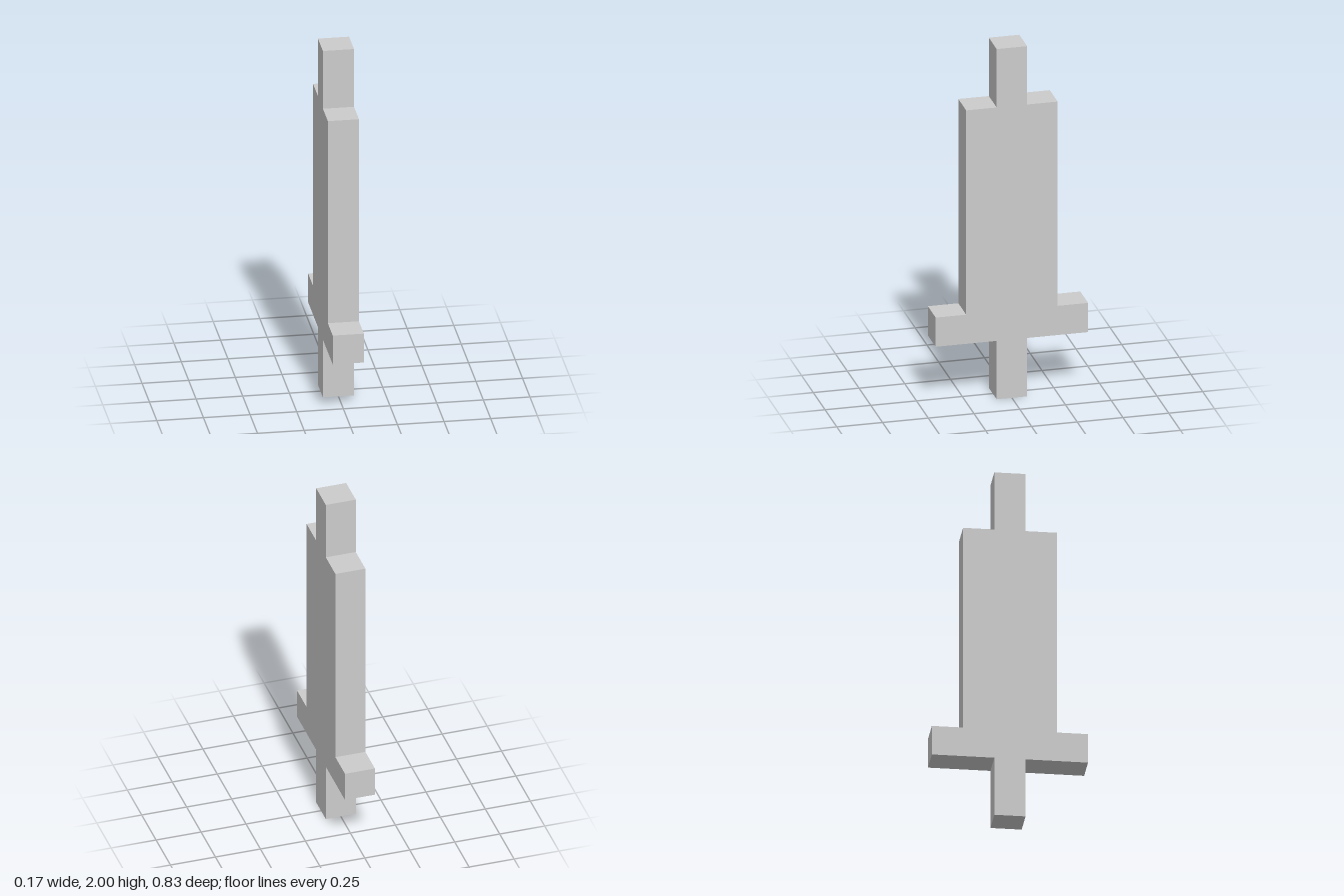
import * as THREE from 'three';

const U = 1 / 6; // block unit: the whole model sits on this grid

export function createModel() {
  const group = new THREE.Group();
  group.name = 'blockSword';

  // Half silhouette from bottom to top, in block units: [half width, height]
  const half = [
    [0.5, 0], [0.5, 2],    // grip
    [2.5, 2], [2.5, 3],    // crossguard
    [1.5, 3], [1.5, 10],   // blade
    [0.5, 10], [0.5, 12],  // tip
  ];
  const mirrored = half.map(([w, h]) => [-w, h]).reverse();
  const outline = [...half, ...mirrored].map(([w, h]) => new THREE.Vector2(w * U, h * U));

  // One block thick, turned so that the width runs along z
  const geometry = new THREE.ExtrudeGeometry(new THREE.Shape(outline), {
    depth: U,
    bevelEnabled: false,
  });
  geometry.translate(0, 0, -U / 2).rotateY(-Math.PI / 2);

  const sword = new THREE.Mesh(
    geometry,
    new THREE.MeshStandardMaterial({ color: 0xcccccc, flatShading: true })
  );
  sword.name = 'swordBody';
  group.add(sword);
  return group;
}
